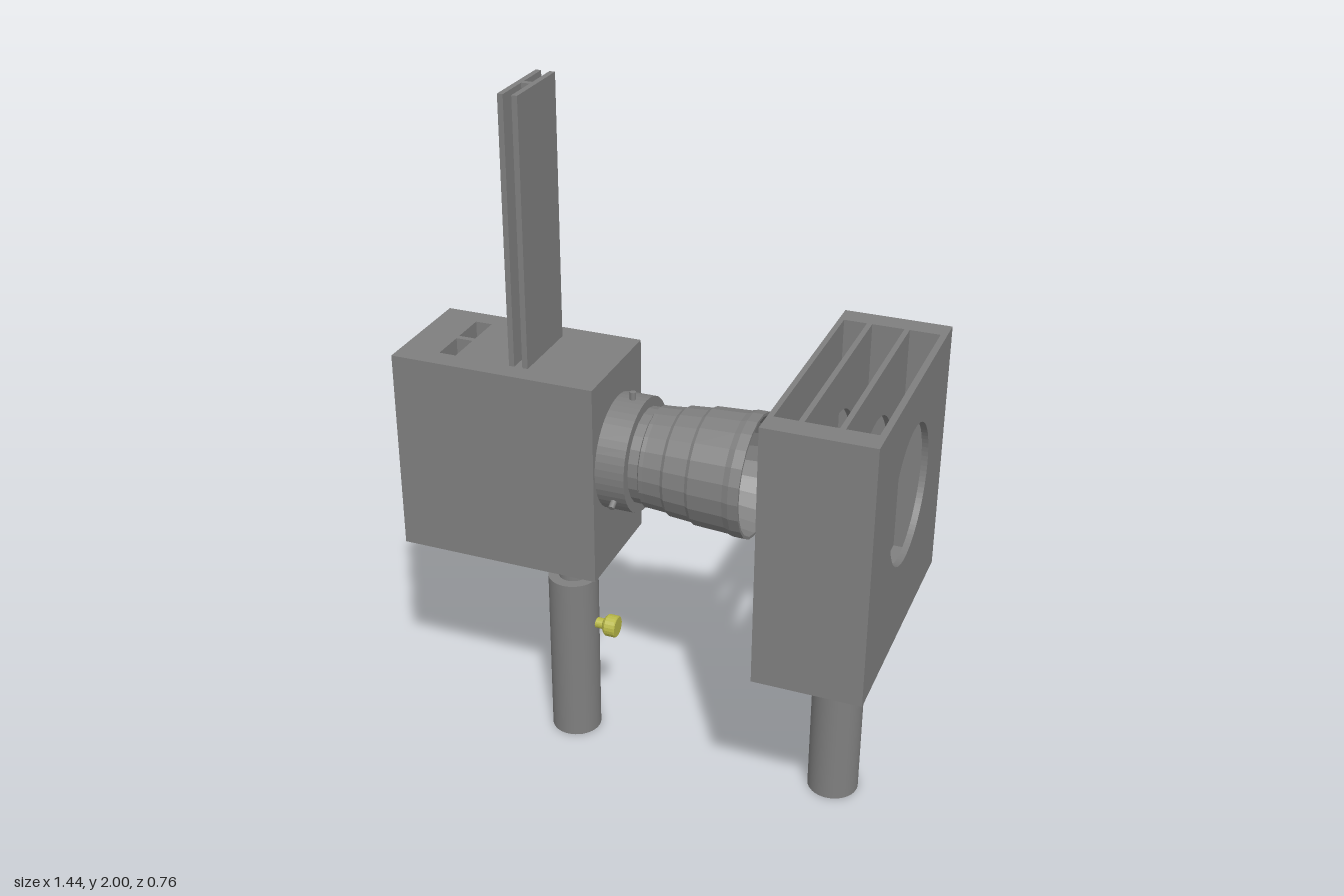
import * as THREE from 'three';

const grey = new THREE.MeshStandardMaterial({ color: 0x7f7f7f });
grey.name = 'grey metal';
const brass = new THREE.MeshStandardMaterial({ color: 0x8c8c3c });
brass.name = 'dull brass';
const yellow = new THREE.MeshStandardMaterial({ color: 0xb8b848 });
yellow.name = 'bright brass';
const black = new THREE.MeshStandardMaterial({ color: 0x0a0a0a });
black.name = 'black';

function add(parent, name, geometry, material, x = 0, y = 0, z = 0) {
  const mesh = new THREE.Mesh(geometry, material);
  mesh.name = name;
  mesh.position.set(x, y, z);
  parent.add(mesh);
  return mesh;
}

// Box given by its limits on each axis
function block(parent, name, material, [x0, x1], [y0, y1], [z0, z1]) {
  return add(parent, name, new THREE.BoxGeometry(x1 - x0, y1 - y0, z1 - z0), material,
    (x0 + x1) / 2, (y0 + y1) / 2, (z0 + z1) / 2);
}

function outline(points, Type = THREE.Shape) {
  return new Type(points.map(([a, b]) => new THREE.Vector2(a, b)));
}

function rectangle(a0, a1, b0, b1, Type) {
  return outline([[a0, b0], [a1, b0], [a1, b1], [a0, b1]], Type);
}

function extrude(shape, depth) {
  return new THREE.ExtrudeGeometry(shape, { depth, bevelEnabled: false, curveSegments: 40 });
}

// Turned part with crisp facets; profile is [radius, distance along axis]
function turned(profile, sides) {
  const geometry = new THREE.LatheGeometry(profile.map(([r, h]) => new THREE.Vector2(r, h)), sides).toNonIndexed();
  geometry.computeVertexNormals();
  return geometry;
}

// Post holder, sliding rod and clamp screw; turn swings the screw around the post
function post(name, x, top, turn) {
  const group = new THREE.Group();
  group.name = name;
  group.position.x = x;
  add(group, 'postHolder', new THREE.CylinderGeometry(0.074, 0.074, 0.535, 40), grey, 0, 0.2675);
  add(group, 'postRod', new THREE.CylinderGeometry(0.043, 0.043, top - 0.5, 32), grey, 0, (top + 0.5) / 2);
  const pivot = new THREE.Group();
  pivot.name = 'clampScrew';
  pivot.rotation.y = turn;
  const knob = turned([[0, 0.06], [0.016, 0.06], [0.016, 0.095], [0.025, 0.1], [0.033, 0.108],
    [0.033, 0.137], [0.03, 0.14], [0, 0.14]], 20);
  add(pivot, 'screwKnob', knob, yellow, 0, 0.38).rotation.z = -Math.PI / 2;
  group.add(pivot);
  return group;
}

function lampHouse() {
  const group = new THREE.Group();
  group.name = 'lampHouse';
  // Housing with two slots sunk from above
  const plan = rectangle(-0.72, -0.118, -0.17, 0.178);
  for (const [b0, b1] of [[-0.105, -0.002], [0.015, 0.12]]) {
    plan.holes.push(rectangle(-0.605, -0.555, b0, b1, THREE.Path));
  }
  add(group, 'housing', extrude(plan, 0.5), grey, 0, 0.74).rotation.x = -Math.PI / 2;
  block(group, 'housingBase', grey, [-0.72, -0.118], [0.64, 0.74], [-0.178, 0.17]);

  // Tall slide: two plates joined by a narrow web
  for (const x of [-0.389, -0.349]) {
    block(group, 'slidePlate', grey, [x, x + 0.016], [1.2, 2], [-0.12, 0.11]);
  }
  block(group, 'slideWeb', grey, [-0.373, -0.349], [1.2, 2], [-0.015, 0.002]);

  // Cable connector on the rear
  const connector = turned([[0.056, 0], [0.056, 0.055], [0.045, 0.055], [0.045, 0.12], [0.053, 0.125],
    [0.053, 0.152], [0.047, 0.158], [0.028, 0.158], [0.028, 0.168], [0.045, 0.172], [0.045, 0.186],
    [0.036, 0.193], [0, 0.193]], 24);
  add(group, 'cableConnector', connector, brass, -0.445, 0.95, -0.178).rotation.x = -Math.PI / 2;
  return group;
}

function lens() {
  const group = new THREE.Group();
  group.name = 'lens';
  group.position.set(0, 0.977, -0.006);
  // Mounting collar
  const collar = turned([[0.166, -0.12], [0.166, -0.033], [0.1, -0.033]], 48);
  add(group, 'lensCollar', collar, grey).rotation.z = -Math.PI / 2;
  // Stepped, flaring barrel with a tapered bore
  const barrel = turned([[0.138, -0.035], [0.138, -0.005], [0.146, 0], [0.146, 0.012], [0.15, 0.065],
    [0.157, 0.075], [0.162, 0.14], [0.168, 0.15], [0.173, 0.25], [0.178, 0.268], [0.178, 0.298],
    [0.17, 0.298], [0.12, -0.02]], 22);
  add(group, 'lensBarrel', barrel, grey).rotation.z = -Math.PI / 2;
  add(group, 'lensOpening', new THREE.CircleGeometry(0.125, 32), black, -0.015).rotation.y = Math.PI / 2;
  // Three set screws around the collar
  for (let i = 0; i < 3; i++) {
    const a = (i * 2 * Math.PI) / 3;
    const screw = add(group, 'setScrew', new THREE.CylinderGeometry(0.009, 0.009, 0.04, 12), grey,
      -0.072, 0.168 * Math.cos(a), 0.168 * Math.sin(a));
    screw.rotation.x = a;
  }
  return group;
}

function filterHolder() {
  const group = new THREE.Group();
  group.name = 'filterHolder';
  const along = (name, shape, x0, x1) => {
    add(group, name, extrude(shape, x1 - x0), grey, x0).rotation.y = Math.PI / 2;
  };
  // Walls pierced by the light opening
  for (const [x0, x1] of [[0.415, 0.43], [0.495, 0.51], [0.6, 0.615], [0.7, 0.718]]) {
    const wall = rectangle(-0.376, 0.38, 0.58, 1.335);
    const hole = new THREE.Path();
    hole.absarc(0, 1.01, 0.195, 0, Math.PI * 2, true);
    wall.holes.push(hole);
    along('holderWall', wall, x0, x1);
  }
  // U-shaped spacers forming the open-topped slots
  for (const [x0, x1] of [[0.43, 0.495], [0.51, 0.6], [0.615, 0.7]]) {
    const spacer = outline([[-0.376, 0.58], [0.38, 0.58], [0.38, 1.335], [0.315, 1.335],
      [0.315, 0.65], [-0.307, 0.65], [-0.307, 1.335], [-0.376, 1.335]]);
    along('slotSpacer', spacer, x0, x1);
  }
  return group;
}

export function createModel() {
  const model = new THREE.Group();
  model.name = 'projector';
  model.add(lampHouse(), lens(), filterHolder());
  model.add(post('lampPost', -0.263, 0.645, 0), post('holderPost', 0.557, 0.585, Math.PI / 2));
  return model;
}
